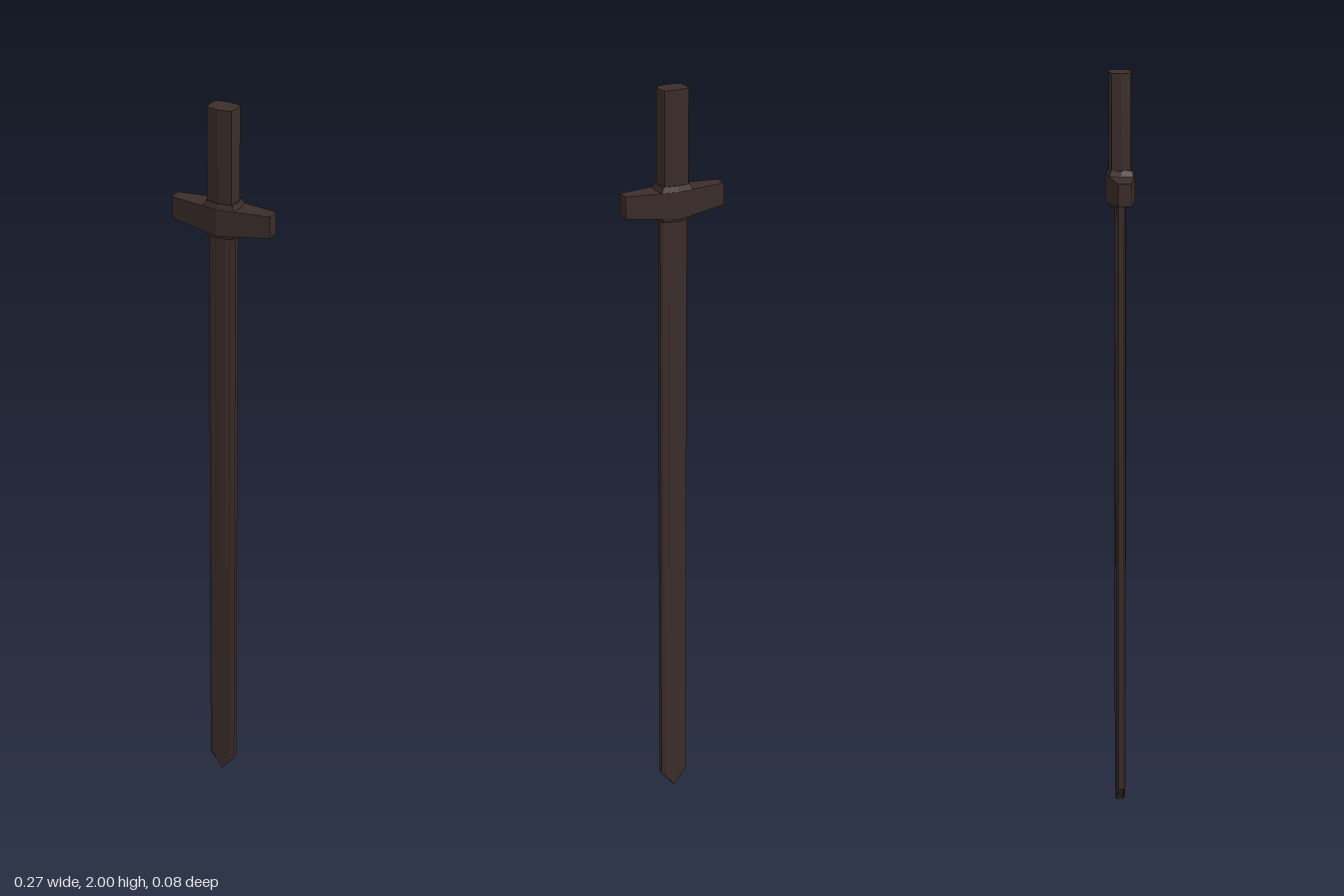
import * as THREE from 'three';

const material = new THREE.MeshStandardMaterial({ color: 0x3b2d2a, flatShading: true });

// Mirror a quarter outline [x, z], listed from the front (+z) round to the +x side, into a full ring
function ringFrom(quarter) {
  const ring = [];
  const add = (x, z) => {
    if (!ring.some(p => Math.abs(p[0] - x) + Math.abs(p[1] - z) < 1e-6)) ring.push([x, z]);
  };
  const back = [...quarter].reverse();
  quarter.forEach(([x, z]) => add(x, z));
  back.forEach(([x, z]) => add(x, -z));
  quarter.forEach(([x, z]) => add(-x, -z));
  back.forEach(([x, z]) => add(-x, z));
  return ring;
}

// Place a ring at a height, scaled in x and z
const level = (ring, y, sx = 1, sz = 1) => ring.map(([x, z]) => new THREE.Vector3(x * sx, y, z * sz));

// Closed, faceted solid through rings listed from bottom to top
function loft(name, rings) {
  const v = [];
  const tri = (...points) => points.forEach(p => v.push(p.x, p.y, p.z));
  const n = rings[0].length;
  const centre = r => r.reduce((s, p) => s.add(p), new THREE.Vector3()).divideScalar(n);
  const top = rings[rings.length - 1], low = rings[0];
  const topMid = centre(top), lowMid = centre(low);
  for (let i = 0; i < n; i++) {
    const j = (i + 1) % n;
    for (let k = 0; k < rings.length - 1; k++) {
      const a = rings[k], b = rings[k + 1];
      tri(a[i], a[j], b[j]);
      tri(a[i], b[j], b[i]);
    }
    tri(topMid, top[i], top[j]);
    tri(lowMid, low[j], low[i]);
  }
  const geometry = new THREE.BufferGeometry();
  geometry.setAttribute('position', new THREE.Float32BufferAttribute(v, 3));
  geometry.computeVertexNormals();
  const mesh = new THREE.Mesh(geometry, material);
  mesh.name = name;
  return mesh;
}

export function createModel() {
  const group = new THREE.Group();
  group.name = 'sword';

  // Blade with bevelled edges, narrowing to a chisel point at the ground
  const blade = ringFrom([[0.027, 0.012], [0.037, 0.007]]);
  group.add(loft('blade', [level(blade, 0, 0), level(blade, 0.045), level(blade, 1.69)]));

  // Slightly raised spine on the upper two thirds of the blade
  const spine = ringFrom([[0.014, 0.0145], [0.022, 0.011]]);
  group.add(loft('bladeSpine', [level(spine, 0.69), level(spine, 1.69)]));

  // Crossguard, widest at the middle and tapering to blunt ends
  const guard = ringFrom([[0, 0.038], [0.135, 0.017]]);
  const underside = level(guard, 1.672);
  underside.forEach(p => { p.y += Math.abs(p.x) * 0.1; });
  group.add(loft('crossguard', [underside, level(guard, 1.743)]));

  // Eight-sided grip and the collars where it meets the guard
  const grip = ringFrom([[0, 0.029], [0.033, 0.024], [0.037, 0]]);
  group.add(loft('grip', [level(grip, 1.7), level(grip, 2)]));
  group.add(loft('upperCollar', [level(grip, 1.72, 1.27, 1.27), level(grip, 1.743, 1.27, 1.27), level(grip, 1.757, 1.1, 1.08)]));
  group.add(loft('lowerCollar', [level(grip, 1.664, 1.08, 1.08), level(grip, 1.676, 1.2, 1.25), level(grip, 1.7, 1.2, 1.25)]));

  return group;
}
